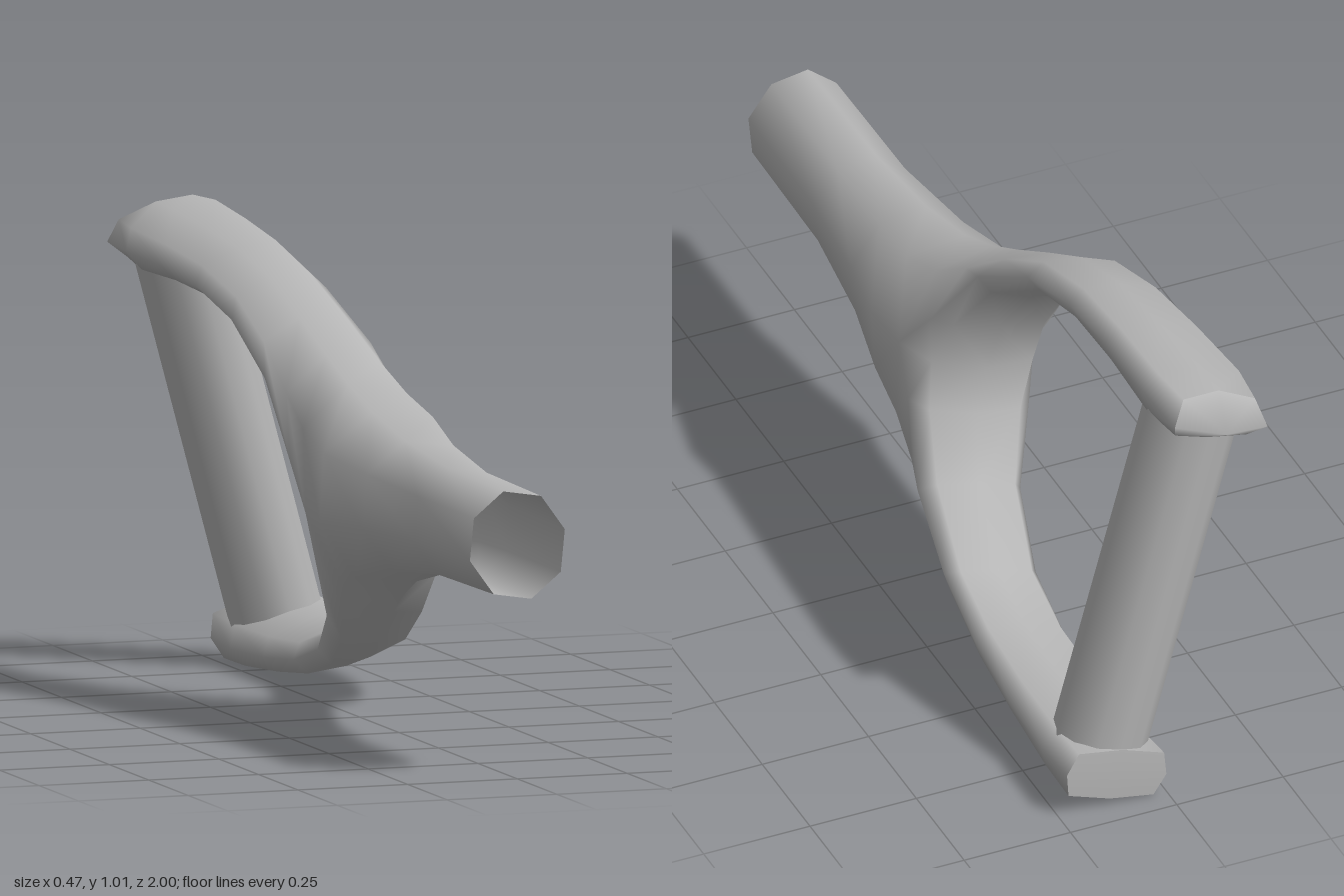
import * as THREE from 'three';
import { mergeVertices } from 'three/addons/utils/BufferGeometryUtils.js';

const ARC = 4; // facets across each half of a cross-section

// Stations: outer (z, y), edge (z, y), inner (z, y), half width, squareness.
// Stations without an inner point belong to the hollow socket and neck.
const neck = [
  { o: [1, 0.122], e: [1, 0], w: 0.112, n: 1 },
  { o: [0.65, 0.126], e: [0.65, 0], w: 0.116, n: 1 },
  { o: [0.4, 0.152], e: [0.4, 0], w: 0.142, n: 0.95 },
  { o: [0.22, 0.192], e: [0.22, 0], w: 0.176, n: 0.9 },
];
const arm = [
  { o: [0.1, 0.24], e: [0.1, 0], i: [-0.01, 0], w: 0.165, n: 0.85 },
  { o: [0, 0.292], e: [0.03, 0.1], i: [-0.02, 0.11], w: 0.148, n: 0.85 },
  { o: [-0.12, 0.36], e: [-0.07, 0.27], i: [-0.1, 0.235], w: 0.125, n: 0.8 },
  { o: [-0.25, 0.43], e: [-0.24, 0.375], i: [-0.27, 0.35], w: 0.112, n: 0.75 },
  { o: [-0.43, 0.475], e: [-0.43, 0.425], i: [-0.43, 0.385], w: 0.112, n: 0.7 },
  { o: [-0.62, 0.495], e: [-0.62, 0.445], i: [-0.62, 0.395], w: 0.117, n: 0.65 },
  { o: [-0.82, 0.508], e: [-0.82, 0.452], i: [-0.82, 0.392], w: 0.123, n: 0.6 },
];
const upperEnd = { o: [-0.92, 0.512], e: [-0.97, 0.45], i: [-0.93, 0.4], w: 0.113, n: 0.75 };
const lowerEnd = { o: [-0.945, 0.505], e: [-0.945, 0.445], i: [-0.94, 0.385], w: 0.121, n: 0.45 };

// Half of a rounded section, swung from the edge through the given crest
function arc(s, crest, side) {
  return Array.from({ length: ARC + 1 }, (_, j) => {
    const t = (j / ARC) * Math.PI;
    const c = Math.cos(t);
    const x = Math.abs(c) < 1e-6 ? 0 : Math.sign(c) * Math.abs(c) ** s.n * s.w;
    const k = j % ARC === 0 ? 0 : Math.sin(t) ** s.n;
    return [x, side * (s.e[1] + (crest[1] - s.e[1]) * k), s.e[0] + (crest[0] - s.e[0]) * k];
  });
}

function pushTri(out, a, b, c, flip) {
  out.push(...a, ...(flip ? c : b), ...(flip ? b : c));
}

function loft(out, rows, flip) {
  for (let i = 0; i < rows.length - 1; i++) {
    for (let j = 0; j < ARC; j++) {
      const a = rows[i][j], b = rows[i][j + 1], c = rows[i + 1][j], d = rows[i + 1][j + 1];
      pushTri(out, a, c, b, flip);
      pushTri(out, b, c, d, flip);
    }
  }
}

function toGeometry(points, smooth) {
  let g = new THREE.BufferGeometry();
  g.setAttribute('position', new THREE.Float32BufferAttribute(points, 3));
  if (smooth) g = mergeVertices(g, 1e-4);
  g.computeVertexNormals();
  return g;
}

export function createModel() {
  const grey = new THREE.MeshStandardMaterial({ color: 0xb5b5b5, side: THREE.DoubleSide });
  grey.name = 'grey';
  const model = new THREE.Group();
  model.name = 'shovelHandle';
  const add = (name, geometry) => {
    const mesh = new THREE.Mesh(geometry, grey);
    mesh.name = name;
    model.add(mesh);
    return mesh;
  };

  // Socket, neck and forked arms as one smooth skin, with an end cap per arm
  const skin = [];
  for (const [side, end, tip] of [[1, upperEnd, -1], [-1, lowerEnd, -0.945]]) {
    const flip = side < 0;
    const fork = [...arm, end];
    loft(skin, [...neck, ...fork].map((s) => arc(s, s.o, side)), flip);
    loft(skin, fork.map((s) => arc(s, s.i, side)), !flip);

    const ring = [...arc(end, end.o, side), ...arc(end, end.i, side).reverse().slice(1, -1)];
    const cap = [];
    ring.forEach((p, j) =>
      pushTri(cap, [0, side * end.e[1], tip], ring[(j + 1) % ring.length], p, flip));
    add(flip ? 'lowerArmEnd' : 'upperArmEnd', toGeometry(cap, true));
  }
  add('socketAndFork', toGeometry(skin, true));

  // Crossbar grip between the arms
  add('grip', new THREE.CylinderGeometry(0.104, 0.104, 0.86, 12, 1, true)).position.z = -0.835;

  // The whole fork is rolled around the socket axis
  model.rotation.z = 0.265;
  model.position.y = 0.515;
  const root = new THREE.Group();
  root.name = 'handle';
  root.add(model);
  return root;
}
